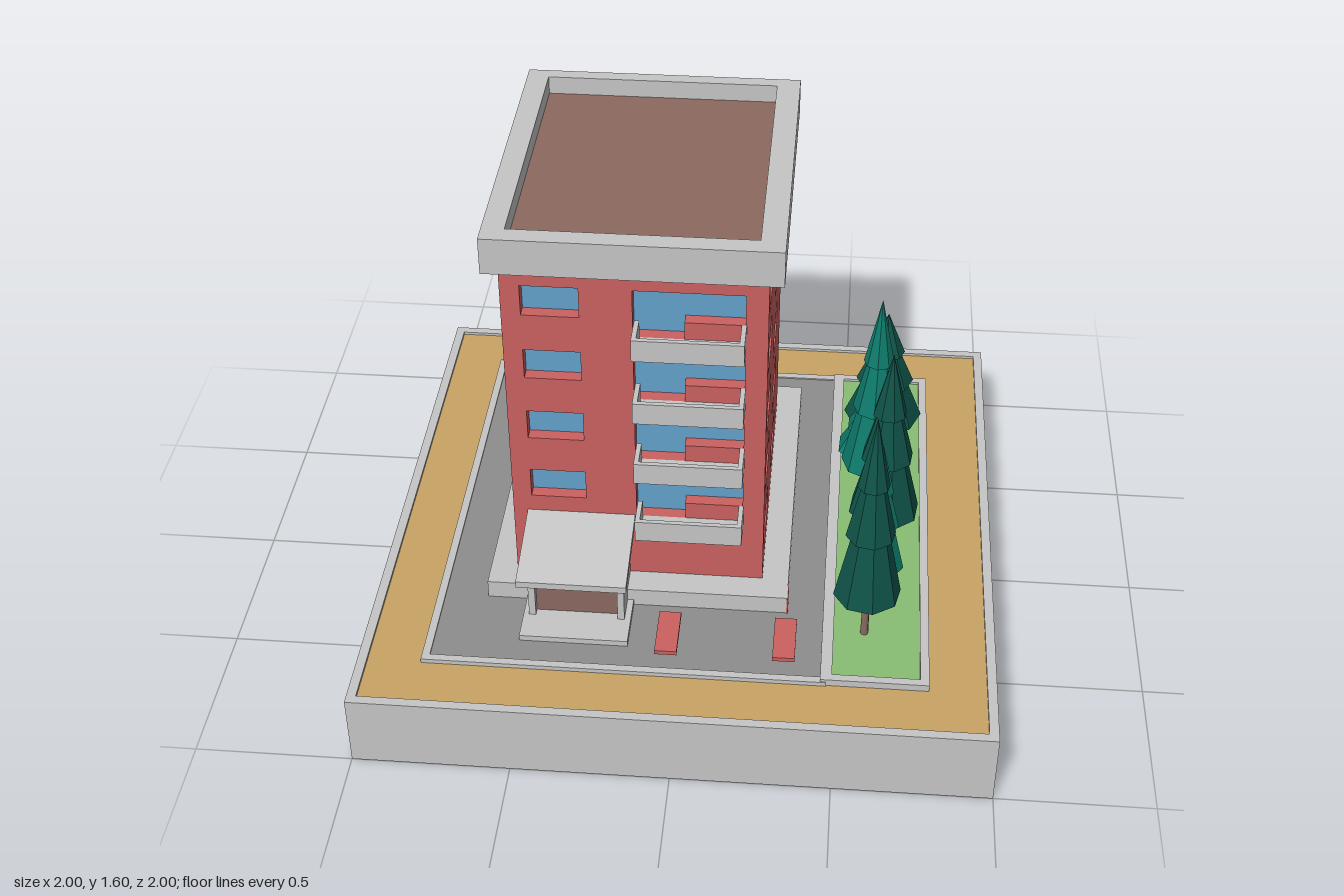
import * as THREE from 'three';

const mat = (name, color) => Object.assign(new THREE.MeshStandardMaterial({ color }), { name });

export function createModel() {
  const root = new THREE.Group();
  root.name = 'apartmentBlock';
  const M = {
    concrete: mat('concrete', 0xc6c6c6), brick: mat('brick', 0xcb6060), glass: mat('glass', 0x64a3cc),
    brown: mat('brown', 0x8c6960), paving: mat('paving', 0x8e8e8e), sand: mat('sand', 0xc9a464),
    grass: mat('grass', 0x88be74), darkPine: mat('darkPine', 0x0f5348), tealPine: mat('tealPine', 0x0e7c6d),
  };

  const add = (name, geo, m, parent = root) => {
    const mesh = new THREE.Mesh(geo, m);
    mesh.name = name;
    parent.add(mesh);
    return mesh;
  };
  // Box given by its extents on each axis
  const box = (name, m, x0, x1, y0, y1, z0, z1, parent) => {
    const mesh = add(name, new THREE.BoxGeometry(x1 - x0, y1 - y0, z1 - z0), m, parent);
    mesh.position.set((x0 + x1) / 2, (y0 + y1) / 2, (z0 + z1) / 2);
    return mesh;
  };
  const poly = (pts, C = THREE.Shape) => new C(pts.map(p => new THREE.Vector2(...p)));
  const rect = (u0, u1, v0, v1) => [[u0, v0], [u1, v0], [u1, v1], [u0, v1]];
  const extrude = (pts, holes, depth) => {
    const s = poly(pts);
    s.holes = holes.map(h => poly(h, THREE.Path));
    return new THREE.ExtrudeGeometry(s, { depth, bevelEnabled: false });
  };
  // Flat rectangular ring lying in the ground plane
  const ring = (name, m, [x0, x1, z0, z1], [a0, a1, b0, b1], y0, y1) => {
    const g = extrude(rect(x0, x1, -z1, -z0), [rect(a0, a1, -b1, -b0)], y1 - y0);
    const mesh = add(name, g.rotateX(-Math.PI / 2), m);
    mesh.position.y = y0;
  };

  // Ground slab, path, courtyard and lawn
  box('baseSlab', M.concrete, -1, 1, 0, 0.235, -1, 1);
  ring('baseRim', M.concrete, [-1, 1, -1, 1], [-0.97, 0.97, -0.97, 0.97], 0.235, 0.25);
  box('sandPath', M.sand, -0.97, 0.97, 0.235, 0.24, -0.97, 0.97);
  box('courtyard', M.paving, -0.78, 0.46, 0.24, 0.25, -0.78, 0.78);
  ring('courtyardCurb', M.concrete, [-0.8, 0.47, -0.8, 0.8], [-0.775, 0.455, -0.775, 0.775], 0.24, 0.255);
  ring('lawnCurb', M.concrete, [0.452, 0.79, -0.796, 0.796], [0.488, 0.762, -0.77, 0.77], 0.24, 0.264);
  box('lawn', M.grass, 0.485, 0.765, 0.24, 0.255, -0.775, 0.775);

  // Plinth and roof
  box('plinth', M.concrete, -0.635, 0.335, 0.245, 0.313, -0.64, 0.49);
  box('plinthEndPanel', M.brick, 0.333, 0.338, 0.25, 0.311, 0.43, 0.492);
  ring('parapet', M.concrete, [-0.595, 0.295, -0.585, 0.443], [-0.525, 0.22, -0.54, 0.382], 1.48, 1.6);
  box('roofDeck', M.brown, -0.53, 0.225, 1.49, 1.54, -0.545, 0.387);

  // Brick walls with recessed window openings over a glass core
  const rowY = i => 0.38 + 0.2325 * i, H = 0.105, T = 0.04;
  const column = (u0, u1, first = 0) => {
    const out = [];
    for (let i = first; i < 5; i++) out.push(rect(u0, u1, rowY(i), rowY(i) + H));
    return out;
  };
  const wall = (name, u0, u1, holes, angle, x, z) => {
    const mesh = add(name, extrude(rect(u0, u1, 0.3, 1.485), holes, T), M.brick);
    mesh.rotation.y = angle;
    mesh.position.set(x, 0, z);
  };
  box('windowGlass', M.glass, -0.51, 0.21, 0.3, 1.48, -0.5, 0.36);
  const frontHoles = column(-0.49, -0.315, 1);
  for (let i = 1; i < 5; i++) {
    const y = rowY(i);
    // Balcony door beside a window
    frontHoles.push([[-0.155, y - 0.06], [0, y - 0.06], [0, y], [0.182, y], [0.182, y + H], [-0.155, y + H]]);
  }
  wall('frontWall', -0.55, 0.25, frontHoles, 0, 0, 0.36);
  wall('backWall', -0.25, 0.55, [...column(-0.02, 0.155), ...column(0.315, 0.49)], Math.PI, 0, -0.5);
  wall('leftWall', -0.36, 0.5, [...column(-0.34, -0.13), ...column(0.075, 0.285)], Math.PI / 2, 0.21, 0);
  wall('rightWall', -0.5, 0.36, column(0.13, 0.34), -Math.PI / 2, -0.51, 0);

  // Balconies
  for (let i = 1; i < 5; i++) {
    const g = new THREE.Group(), y = rowY(i), y0 = y - 0.075;
    g.name = 'balcony';
    root.add(g);
    box('balconyFloor', M.concrete, -0.15, 0.185, y0, y0 + 0.015, 0.4, 0.505, g);
    box('balconyFront', M.concrete, -0.15, 0.185, y0 + 0.015, y, 0.49, 0.505, g);
    for (const x of [-0.15, 0.17]) box('balconySide', M.concrete, x, x + 0.015, y0 + 0.015, y, 0.4, 0.49, g);
  }

  // Entrance porch with sloping canopy
  box('entranceStep', M.concrete, -0.505, -0.16, 0.25, 0.27, 0.4, 0.685);
  box('entranceDoor', M.brown, -0.47, -0.2, 0.27, 0.475, 0.4, 0.56);
  for (const x of [-0.487, -0.202]) box('porchWall', M.concrete, x, x + 0.022, 0.27, 0.496, 0.4, 0.585);
  box('porchLintel', M.concrete, -0.465, -0.202, 0.472, 0.496, 0.4, 0.58);
  const canopy = add('canopy', extrude([[0.39, 0.525], [0.685, 0.475], [0.685, 0.498], [0.39, 0.555]], [], 0.345), M.concrete);
  canopy.rotation.y = -Math.PI / 2;
  canopy.position.x = -0.16;

  // Benches
  for (const x of [-0.035, 0.335]) {
    box('benchSeat', M.brick, x - 0.035, x + 0.035, 0.272, 0.287, 0.555, 0.735);
    for (const z of [0.59, 0.7]) box('benchLeg', M.brick, x - 0.018, x + 0.018, 0.25, 0.272, z - 0.008, z + 0.008);
  }

  // Pines: x, z, foliage base, top, radius, colour
  const profile = [[0, 0], [1, 0], [0.52, 0.37], [0.73, 0.35], [0.32, 0.65], [0.47, 0.63], [0, 1]];
  const pines = [
    [0.63, -0.535, 0.3, 0.73, 0.137, M.darkPine], [0.585, -0.315, 0.315, 0.58, 0.113, M.tealPine],
    [0.595, -0.105, 0.42, 1.08, 0.107, M.tealPine], [0.635, 0.093, 0.38, 1.01, 0.118, M.darkPine],
    [0.615, 0.32, 0.335, 0.82, 0.09, M.tealPine], [0.585, 0.565, 0.43, 1.115, 0.107, M.darkPine],
  ];
  for (const m of [M.darkPine, M.tealPine]) m.flatShading = true;
  pines.forEach(([x, z, y0, y1, r, m], i) => {
    const g = new THREE.Group();
    g.name = 'pineTree';
    g.position.set(x, 0, z);
    g.rotation.y = i * 0.35;
    root.add(g);
    const pts = profile.map(([a, b]) => new THREE.Vector2(a * r, y0 + b * (y1 - y0)));
    add('foliage', new THREE.LatheGeometry(pts, 8), m, g);
    const h = y0 + 0.02 - 0.25;
    add('trunk', new THREE.CylinderGeometry(0.011, 0.013, h, 8), M.brown, g).position.y = 0.25 + h / 2;
  });
  return root;
}
